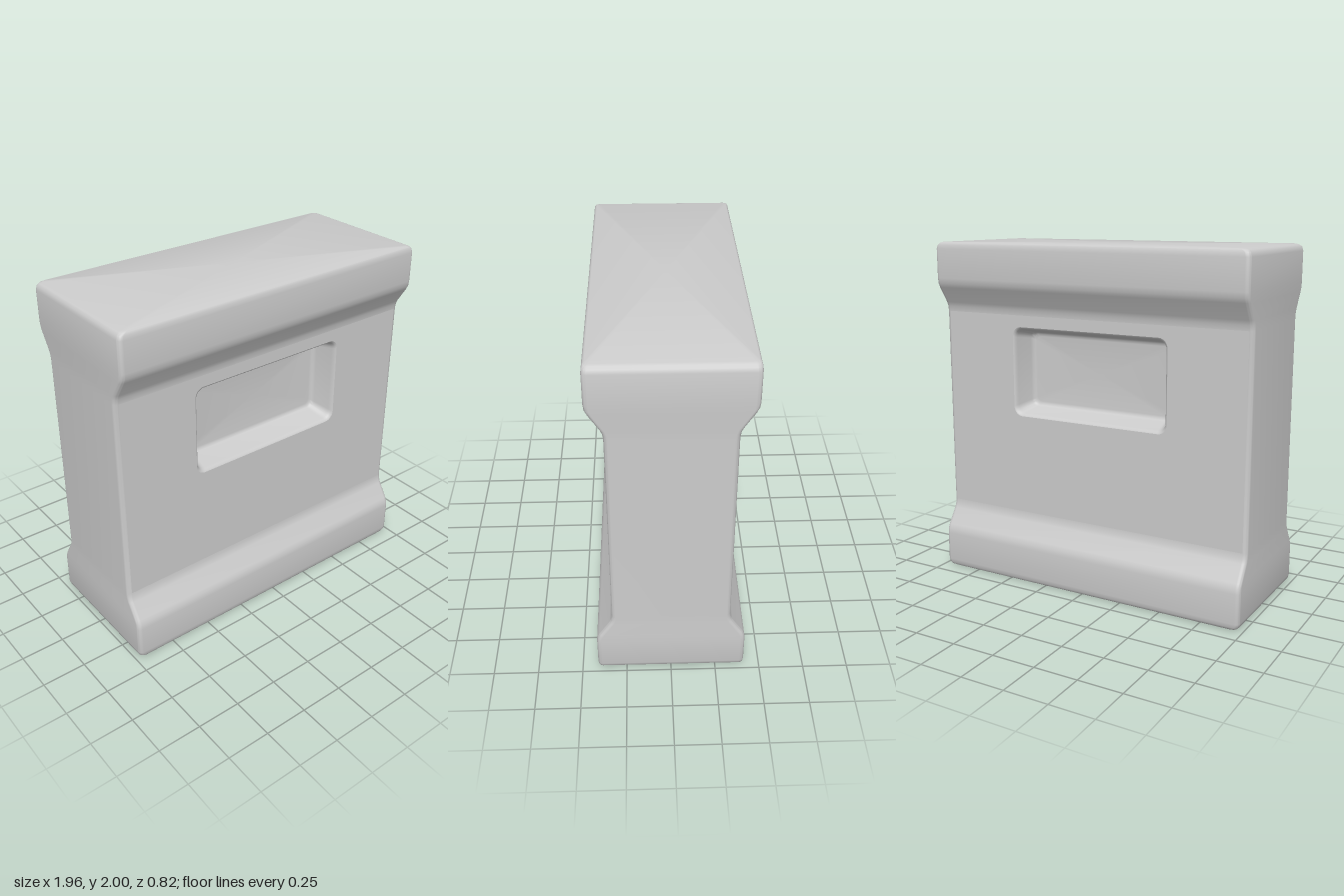
import * as THREE from 'three';
import { toCreasedNormals } from 'three/addons/utils/BufferGeometryUtils.js';

const N = 6; // segments per rounded corner

// Counter-clockwise rounded rectangle as 2D points
function roundedRect(hx, hy, r) {
  const pts = [];
  for (let q = 0; q < 4; q++) {
    const sx = q === 0 || q === 3 ? 1 : -1;
    const sy = q < 2 ? 1 : -1;
    for (let i = 0; i <= N; i++) {
      const a = (q + i / N) * Math.PI / 2;
      pts.push(new THREE.Vector2(sx * (hx - r) + r * Math.cos(a), sy * (hy - r) + r * Math.sin(a)));
    }
  }
  return pts;
}

// Skin over matching loops, with optional end caps and skipped quads
function loft(loops, { capStart = false, capEnd = false, skip = () => false }) {
  const n = loops[0].length, pos = [], index = [];
  loops.forEach(l => l.forEach(p => pos.push(p.x, p.y, p.z)));
  for (let k = 0; k < loops.length - 1; k++) {
    for (let i = 0; i < n; i++) {
      if (skip(k, i)) continue;
      const j = (i + 1) % n, a = k * n + i, b = k * n + j;
      index.push(a, b, b + n, a, b + n, a + n);
    }
  }
  const cap = (k, flip) => {
    const c = new THREE.Vector3();
    loops[k].forEach(p => c.addScaledVector(p, 1 / n));
    const ci = pos.length / 3;
    pos.push(c.x, c.y, c.z);
    for (let i = 0; i < n; i++) {
      const a = k * n + i, b = k * n + (i + 1) % n;
      if (flip) index.push(ci, b, a); else index.push(ci, a, b);
    }
  };
  if (capStart) cap(0, true);
  if (capEnd) cap(loops.length - 1, false);
  const g = new THREE.BufferGeometry();
  g.setAttribute('position', new THREE.Float32BufferAttribute(pos, 3));
  g.setIndex(index);
  return toCreasedNormals(g, 0.65);
}

export function createModel() {
  const group = new THREE.Group();
  const grey = new THREE.MeshStandardMaterial({ color: 0xcccccc });
  grey.name = 'plain grey';
  const add = (parent, geometry, name) => {
    const m = new THREE.Mesh(geometry, grey);
    m.name = name;
    parent.add(m);
  };

  // Block: horizontal sections [height, half width, half depth], mirrored top to bottom
  const lower = [
    [0, 0.945, 0.395], [0.006, 0.962, 0.404], [0.018, 0.974, 0.409], [0.04, 0.98, 0.412],
    [0.21, 0.98, 0.412], [0.24, 0.98, 0.408], [0.265, 0.98, 0.396], [0.355, 0.98, 0.338],
    [0.38, 0.98, 0.328], [0.41, 0.98, 0.324],
  ];
  const sections = [...lower, ...lower.map(([y, w, d]) => [2 - y, w, d]).reverse()];
  const loops = sections.map(([y, w, d]) =>
    roundedRect(w, d, 0.025).map(p => new THREE.Vector3(p.x, y, -p.y)));
  const waist = lower.length - 1;
  const backEdge = N, frontEdge = 2 * (N + 1) + N;
  add(group, loft(loops, {
    capStart: true, capEnd: true,
    skip: (k, i) => k === waist && (i === backEdge || i === frontEdge),
  }), 'block');

  // Recess steps: [half width, depth behind the panel, corner radius]
  const cy = 1.26, z = 0.324;
  const steps = [
    [0.5, 0, 0.055], [0.494, 0.003, 0.053], [0.488, 0.012, 0.05], [0.484, 0.025, 0.048],
    [0.461, 0.125, 0.04], [0.455, 0.14, 0.037], [0.445, 0.148, 0.033], [0.432, 0.15, 0.03],
  ];
  const rim = steps.map(([w, d, r]) =>
    roundedRect(w, w - 0.237, r).map(p => new THREE.Vector3(p.x, p.y + cy, z - d)));

  // Waist panel with an opening for the recess
  const panel = new THREE.Shape();
  panel.moveTo(-0.955, 0.41).lineTo(0.955, 0.41).lineTo(0.955, 1.59).lineTo(-0.955, 1.59).closePath();
  panel.holes.push(new THREE.Path(rim[0].map(p => new THREE.Vector2(p.x, p.y))));
  const panelGeometry = new THREE.ShapeGeometry(panel).translate(0, 0, z);
  const recessGeometry = loft(rim, { capEnd: true });

  // Same face on the front and the back
  ['front', 'back'].forEach((name, i) => {
    const face = new THREE.Group();
    face.name = name + 'Face';
    add(face, panelGeometry, name + 'Panel');
    add(face, recessGeometry, name + 'Recess');
    face.rotation.y = i * Math.PI;
    group.add(face);
  });
  return group;
}
